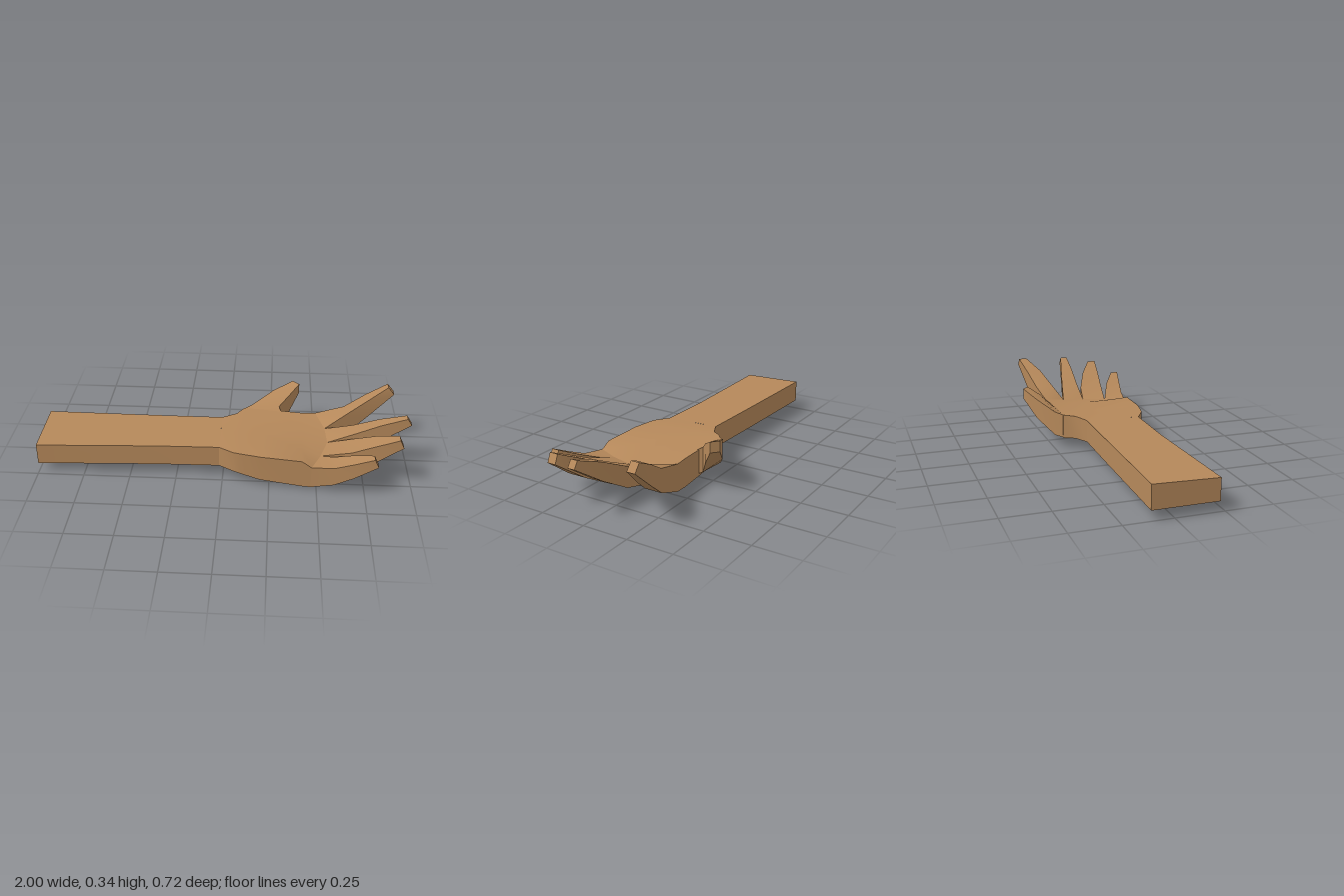
import * as THREE from 'three';
import { toCreasedNormals } from 'three/addons/utils/BufferGeometryUtils.js';

// One cross-section from columns [x, z, top, bottom, bottomShift]: top row, then bottom row back again
function ring(cols) {
  const top = cols.map(([x, z, t]) => [x, t, z]);
  const bottom = cols.map(([x, z, , b, dx = 0]) => [x + dx, b, z]).reverse();
  return [...top, ...bottom];
}

// Skin a row of cross-sections, with optional end caps
function loft(sections, capStart, capEnd) {
  const rings = sections.map(ring);
  const n = rings[0].length;
  const pos = [];
  const tri = (a, b, c) => pos.push(...a, ...b, ...c);
  for (let s = 0; s < rings.length - 1; s++) {
    const a = rings[s], b = rings[s + 1];
    for (let i = 0; i < n; i++) {
      const j = (i + 1) % n;
      tri(a[i], a[j], b[j]);
      tri(a[i], b[j], b[i]);
    }
  }
  const first = rings[0], last = rings[rings.length - 1];
  for (let i = 1; i < n - 1; i++) {
    if (capStart) tri(first[0], first[i + 1], first[i]);
    if (capEnd) tri(last[0], last[i], last[i + 1]);
  }
  const g = new THREE.BufferGeometry();
  g.setAttribute('position', new THREE.Float32BufferAttribute(pos, 3));
  return toCreasedNormals(g, 0.55);
}

// Finger section with the same height on both sides
const slice = (x, zBack, zFront, top, bottom, dx = 0) =>
  [[x, zBack, top, bottom, dx], [x, zFront, top, bottom, dx]];

export function createModel() {
  const group = new THREE.Group();
  const skin = new THREE.MeshStandardMaterial({ color: 0xb5885a });
  skin.name = 'skin';
  const add = (name, geometry) => {
    const mesh = new THREE.Mesh(geometry, skin);
    mesh.name = name;
    group.add(mesh);
  };

  // Forearm: a tapering flat bar
  add('forearm', loft([
    [[-1, -0.115, 0.18, 0.055], [-1, 0.225, 0.17, 0.055]],
    [[-0.35, -0.105, 0.182, 0.058], [-0.35, 0.2, 0.174, 0.058]],
    [[-0.02, -0.1, 0.185, 0.062], [-0.02, 0.2, 0.178, 0.062]],
  ], true, false));

  // Palm: five columns across, ending at the gaps between the fingers
  const row = (x, zBack, zFront, tops, bottoms) =>
    tops.map((t, i) => [x, zBack + (zFront - zBack) * i / 4, t, bottoms[i]]);
  const knuckles = [
    [0.5, -0.195, 0.175, 0.025],
    [0.55, -0.07, 0.15, 0.06],
    [0.56, 0.057, 0.14, 0.03],
    [0.52, 0.185, 0.135, 0.018],
    [0.47, 0.3, 0.135, 0.013],
  ];
  add('palm', loft([
    row(-0.02, -0.1, 0.2, [0.185, 0.183, 0.181, 0.18, 0.178], [0.062, 0.062, 0.062, 0.062, 0.062]),
    row(0.06, -0.14, 0.25, [0.19, 0.185, 0.183, 0.182, 0.18], [0.062, 0.06, 0.06, 0.06, 0.062]),
    row(0.1, -0.2, 0.26, [0.192, 0.186, 0.182, 0.181, 0.18], [0.06, 0.055, 0.052, 0.052, 0.055]),
    row(0.2, -0.2, 0.28, [0.188, 0.18, 0.176, 0.177, 0.178], [0.05, 0.033, 0.028, 0.028, 0.035]),
    row(0.42, -0.19, 0.295, [0.176, 0.165, 0.16, 0.162, 0.168], [0.02, 0.009, 0.003, 0.006, 0.013]),
    knuckles,
  ], false, false));

  // Fingers: each grows out of two neighbouring knuckle columns and curls up
  const fingers = {
    indexFinger: [
      slice(0.66, -0.21, -0.11, 0.215, 0.085),
      slice(0.78, -0.235, -0.152, 0.285, 0.175),
      slice(0.9, -0.258, -0.212, 0.343, 0.3, 0.035),
    ],
    middleFinger: [
      slice(0.7, -0.035, 0.062, 0.2, 0.085),
      slice(0.84, 0, 0.07, 0.265, 0.165),
      slice(0.975, 0.035, 0.075, 0.313, 0.275, 0.025),
    ],
    ringFinger: [
      slice(0.68, 0.08, 0.215, 0.18, 0.07),
      slice(0.81, 0.135, 0.235, 0.24, 0.14),
      slice(0.92, 0.203, 0.25, 0.288, 0.241, 0.022),
    ],
    littleFinger: [
      slice(0.59, 0.213, 0.32, 0.15, 0.045),
      slice(0.69, 0.255, 0.34, 0.192, 0.105),
      slice(0.785, 0.318, 0.36, 0.236, 0.19, 0.022),
    ],
  };
  // The little finger is last, so the knuckles run from back to front
  Object.entries(fingers).forEach(([name, slices], i) => {
    add(name, loft([[knuckles[i], knuckles[i + 1]], ...slices], false, true));
  });

  // Thumb: outer and inner edge at each section
  add('thumb', loft([
    [[0.1, -0.195, 0.19, 0.06], [0.31, -0.185, 0.18, 0.045]],
    [[0.15, -0.235, 0.2, 0.065], [0.295, -0.215, 0.198, 0.06]],
    [[0.26, -0.31, 0.25, 0.14], [0.355, -0.265, 0.25, 0.14]],
    [[0.37, -0.36, 0.288, 0.23], [0.408, -0.325, 0.288, 0.23]],
  ], false, true));

  return group;
}
